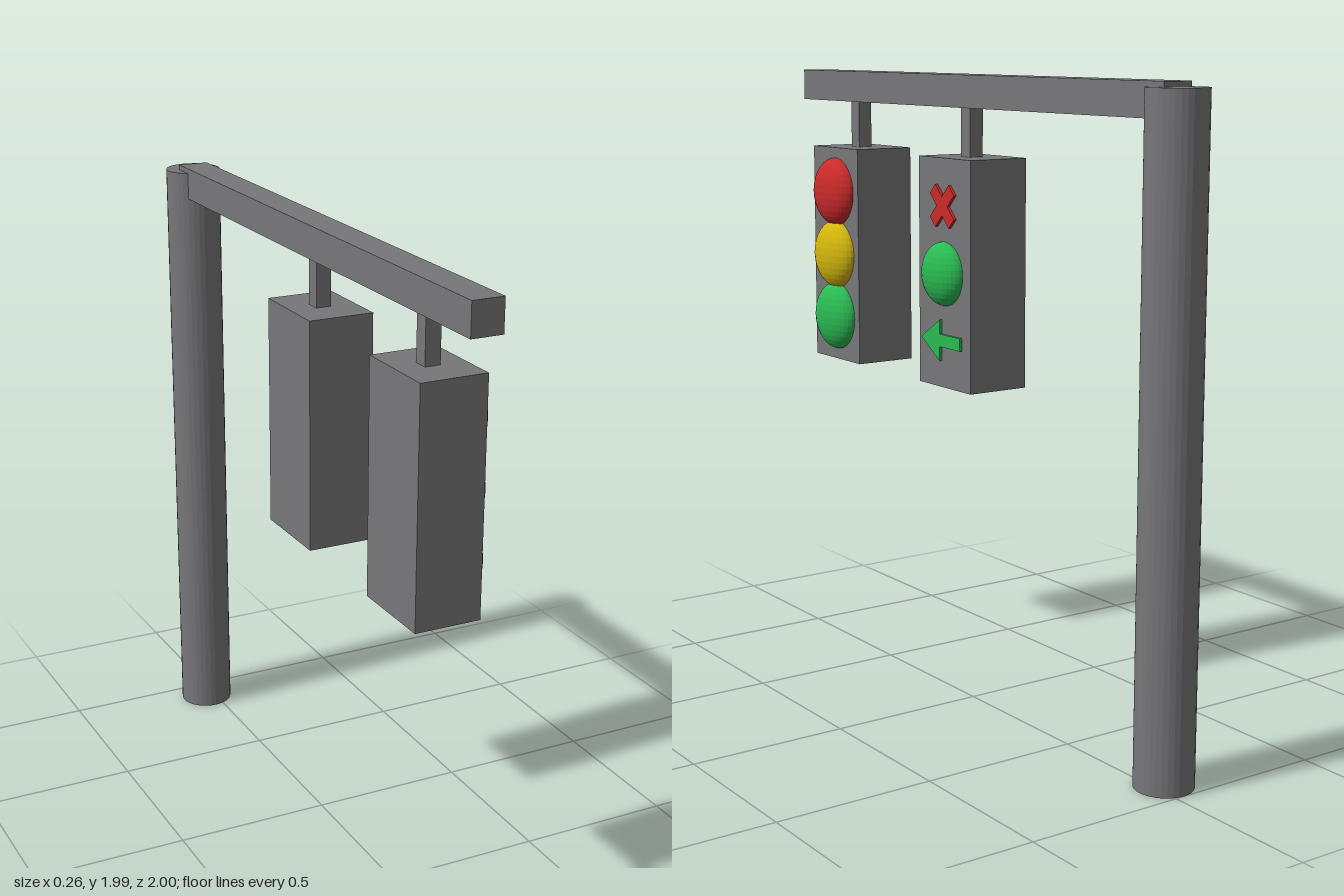
import * as THREE from 'three';

const mat = (color) => new THREE.MeshStandardMaterial({ color, flatShading: true });
const GREY = mat(0x77777a), RED = mat(0xcc2a2a), YELLOW = mat(0xd4b80c), GREEN = mat(0x2abb52);
const AXIS_X = -0.03;   // x of the pole, arm and housings
const FACE_X = 0.073;   // x of the lit face of the housings

function add(parent, name, geometry, material, x, y, z) {
  const mesh = new THREE.Mesh(geometry, material);
  mesh.name = name;
  mesh.position.set(x, y, z);
  parent.add(mesh);
  return mesh;
}

// Flattened ball half sunk into the housing
function addLamp(parent, name, material, y, z, r) {
  add(parent, name, new THREE.SphereGeometry(1, 32, 16), material, FACE_X, y, z).scale.set(0.057, r, r);
}

// Housing with the short hanger that joins it to the arm
function addHousing(parent, name, z) {
  const signal = new THREE.Group();
  signal.name = name;
  add(signal, 'housing', new THREE.BoxGeometry(0.207, 0.716, 0.283), GREY, AXIS_X, 1.377, z);
  add(signal, 'hanger', new THREE.BoxGeometry(0.048, 0.17, 0.048), GREY, AXIS_X, 1.815, z);
  parent.add(signal);
  return signal;
}

export function createModel() {
  const model = new THREE.Group();
  model.name = 'trafficSignal';

  // Pole and overhead arm
  add(model, 'pole', new THREE.CylinderGeometry(0.089, 0.089, 1.97, 32), GREY, AXIS_X, 0.985, -0.911);
  add(model, 'arm', new THREE.BoxGeometry(0.098, 0.1, 1.911), GREY, AXIS_X, 1.936, 0.0445);

  // Three-lamp signal
  const outer = addHousing(model, 'outerSignal', 0.704);
  [['redLamp', RED, 1.588], ['yellowLamp', YELLOW, 1.378], ['greenLamp', GREEN, 1.168]]
    .forEach(([name, material, y]) => addLamp(outer, name, material, y, 0.704, 0.113));

  // Lane signal: cross, lamp and arrow
  const inner = addHousing(model, 'innerSignal', 0.05);
  for (const side of [-1, 1]) {
    add(inner, 'crossBar', new THREE.BoxGeometry(0.02, 0.042, 0.145), RED, FACE_X, 1.588, 0.05)
      .rotation.x = side * Math.PI / 4;
  }
  addLamp(inner, 'greenLamp', GREEN, 1.378, 0.05, 0.1);

  // Arrow drawn pointing to -x, then turned so it points forward on the lit face
  const arrow = new THREE.Shape([
    [-0.108, 0], [-0.005, -0.065], [-0.005, -0.02], [0.106, -0.02],
    [0.106, 0.02], [-0.005, 0.02], [-0.005, 0.065],
  ].map(([x, y]) => new THREE.Vector2(x, y)));
  const arrowGeometry = new THREE.ExtrudeGeometry(arrow, { depth: 0.02, bevelEnabled: false });
  add(inner, 'arrow', arrowGeometry, GREEN, FACE_X - 0.01, 1.168, 0.06).rotation.y = Math.PI / 2;

  return model;
}
